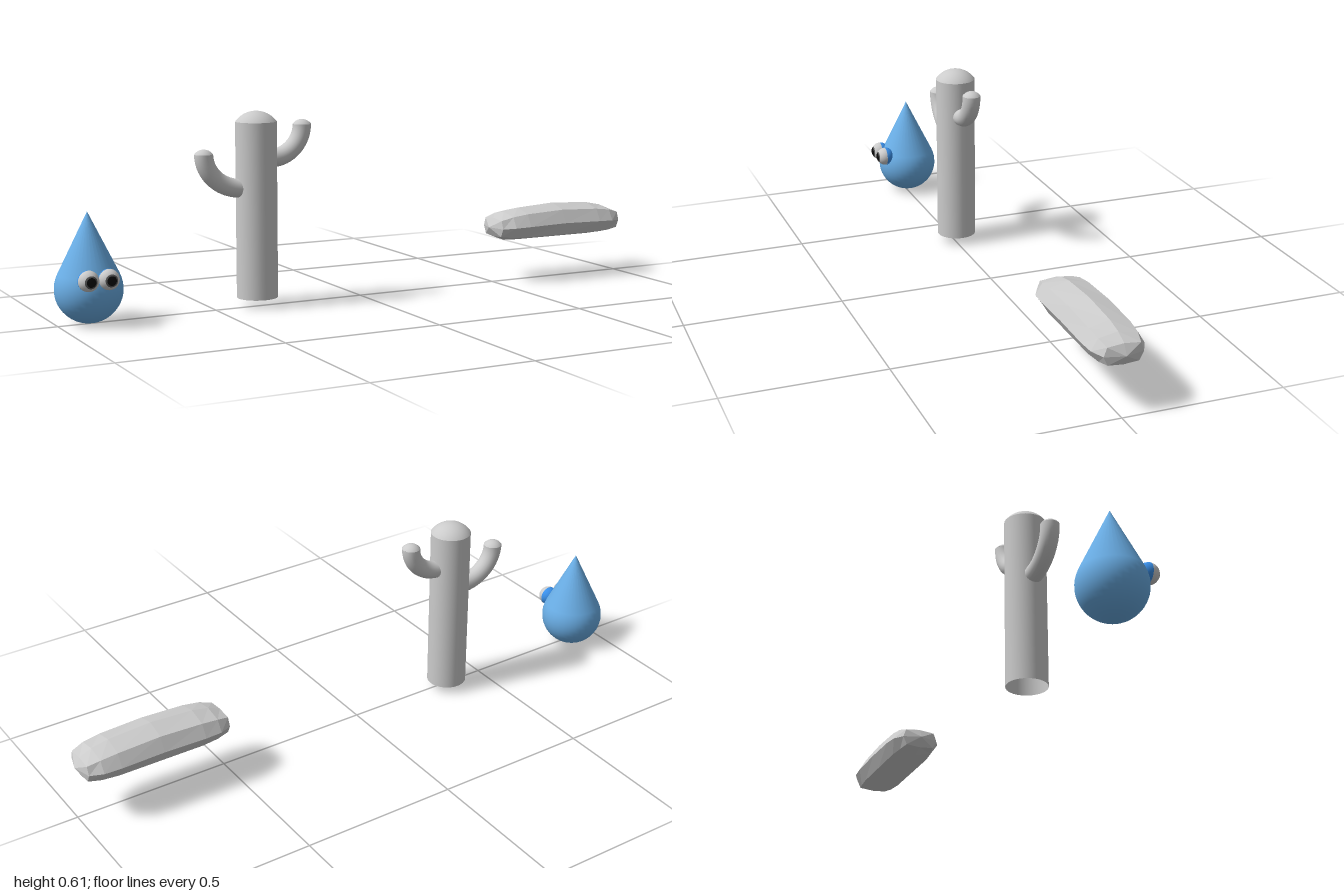
import * as THREE from 'three';

const Z = -0.01; // shared depth of the three objects
const mat = (color, opts = {}) => new THREE.MeshStandardMaterial({ color, ...opts });
const grey = mat(0xcccccc, { side: THREE.DoubleSide });
const facetedGrey = mat(0xcccccc, { flatShading: true });
const dropBlue = mat(0x6aaee6);
const lidBlue = mat(0x3a90ea);
const white = mat(0xeeeeee);
const irisGrey = mat(0x555555);
const black = mat(0x0a0a0a);

function add(parent, name, geometry, material, x = 0, y = 0, z = 0) {
  const mesh = new THREE.Mesh(geometry, material);
  mesh.name = name;
  mesh.position.set(x, y, z);
  parent.add(mesh);
  return mesh;
}

// Shallow spherical cap whose rim has radius r and lies at y = 0
function domeGeometry(r) {
  const theta = 0.95;
  const R = r / Math.sin(theta);
  return new THREE.SphereGeometry(R, 32, 8, 0, Math.PI * 2, 0, theta)
    .translate(0, -R * Math.cos(theta), 0);
}

// Part of a sphere measured from the +z pole
function zCap(r, from, length) {
  return new THREE.SphereGeometry(r, 24, 12, 0, Math.PI * 2, from, length).rotateX(Math.PI / 2);
}

function createDrop() {
  const drop = new THREE.Group();
  drop.name = 'waterDrop';
  drop.position.set(-0.9, 0, Z);

  // Round bottom running tangentially into a straight cone
  const r = 0.102, cy = 0.105, tip = 0.336;
  const end = Math.PI / 2 + Math.asin(r / (tip - cy));
  const profile = [];
  for (let i = 0; i <= 14; i++) {
    const a = (end * i) / 14;
    profile.push(new THREE.Vector2(r * Math.sin(a), cy - r * Math.cos(a)));
  }
  profile.push(new THREE.Vector2(0, tip));
  add(drop, 'dropBody', new THREE.LatheGeometry(profile, 32), dropBlue);

  // Eyes: white front, blue back shell, iris and pupil
  for (const side of [-1, 1]) {
    const eye = new THREE.Group();
    eye.name = side < 0 ? 'rightEye' : 'leftEye';
    eye.position.set(side * 0.031, 0.146, 0.093);
    add(eye, 'eyeball', zCap(0.0315, 0, Math.PI / 2), white);
    add(eye, 'eyelid', zCap(0.0317, Math.PI / 2, Math.PI / 2), lidBlue);
    add(eye, 'iris', zCap(0.0319, 0, 0.64), irisGrey);
    add(eye, 'pupil', zCap(0.0322, 0, 0.46), black);
    drop.add(eye);
  }
  return drop;
}

function createCactus() {
  const cactus = new THREE.Group();
  cactus.name = 'cactus';
  cactus.position.set(-0.356, 0, Z);

  // Trunk, open underneath
  add(cactus, 'trunk', new THREE.CylinderGeometry(0.064, 0.064, 0.547, 32, 1, true), grey, 0, 0.3035);
  add(cactus, 'trunkTop', domeGeometry(0.064), grey, 0, 0.577);

  // Arms sweep out sideways and bend upward
  const arms = [
    { name: 'rightArm', start: -0.05, bend: -0.174, y0: 0.374, y1: 0.484 },
    { name: 'leftArm', start: 0.05, bend: 0.156, y0: 0.461, y1: 0.563 },
  ];
  for (const { name, start, bend, y0, y1 } of arms) {
    const k = 0.45;
    const path = new THREE.CubicBezierCurve3(
      new THREE.Vector3(start, y0, 0),
      new THREE.Vector3(bend - (bend - start) * k, y0, 0),
      new THREE.Vector3(bend, y1 - (y1 - y0) * (1 - k), 0),
      new THREE.Vector3(bend, y1, 0));
    add(cactus, name, new THREE.TubeGeometry(path, 16, 0.029, 20), grey);
    add(cactus, name + 'Tip', domeGeometry(0.029), grey, bend, y1);
  }
  return cactus;
}

function createStone() {
  // Half of the stone as cross-sections:
  // distance from middle, top y, shoulder [z, y], waist [z, y], underside [z, y], bottom y
  const half = [
    [0, 0.253, [0.062, 0.236], [0.085, 0.193], [0.062, 0.152], 0.137],
    [0.14, 0.245, [0.062, 0.23], [0.085, 0.19], [0.062, 0.152], 0.137],
    [0.195, 0.234, [0.059, 0.223], [0.08, 0.188], [0.056, 0.153], 0.139],
    [0.235, 0.217, [0.05, 0.212], [0.06, 0.185], [0.047, 0.158], 0.154],
  ];
  const mirrored = half.slice(1).reverse().map(([d, ...rest]) => [-d, ...rest]);
  const sections = [...mirrored, ...half];
  const positions = [];
  const index = [];
  for (const [x, top, s, w, u, bottom] of sections) {
    const ring = [[0, top], s, w, u, [0, bottom],
      [-u[0], u[1]], [-w[0], w[1]], [-s[0], s[1]]];
    for (const [z, y] of ring) positions.push(x, y, z);
  }
  const last = (sections.length - 1) * 8;
  const apexA = sections.length * 8;
  const apexB = apexA + 1;
  positions.push(-0.253, 0.186, 0, 0.253, 0.186, 0);
  for (let j = 0; j < 8; j++) {
    const n = (j + 1) % 8;
    for (let i = 0; i < last; i += 8) {
      index.push(i + j, i + n, i + 8 + j, i + n, i + 8 + n, i + 8 + j);
    }
    index.push(apexA, n, j, apexB, last + j, last + n);
  }
  const geometry = new THREE.BufferGeometry();
  geometry.setAttribute('position', new THREE.Float32BufferAttribute(positions, 3));
  geometry.setIndex(index);
  geometry.computeVertexNormals();
  const stone = new THREE.Mesh(geometry, facetedGrey);
  stone.name = 'stoneSlab';
  stone.position.set(0.745, 0, Z);
  return stone;
}

export function createModel() {
  const model = new THREE.Group();
  model.name = 'desertSet';
  model.add(createDrop(), createCactus(), createStone());
  return model;
}
